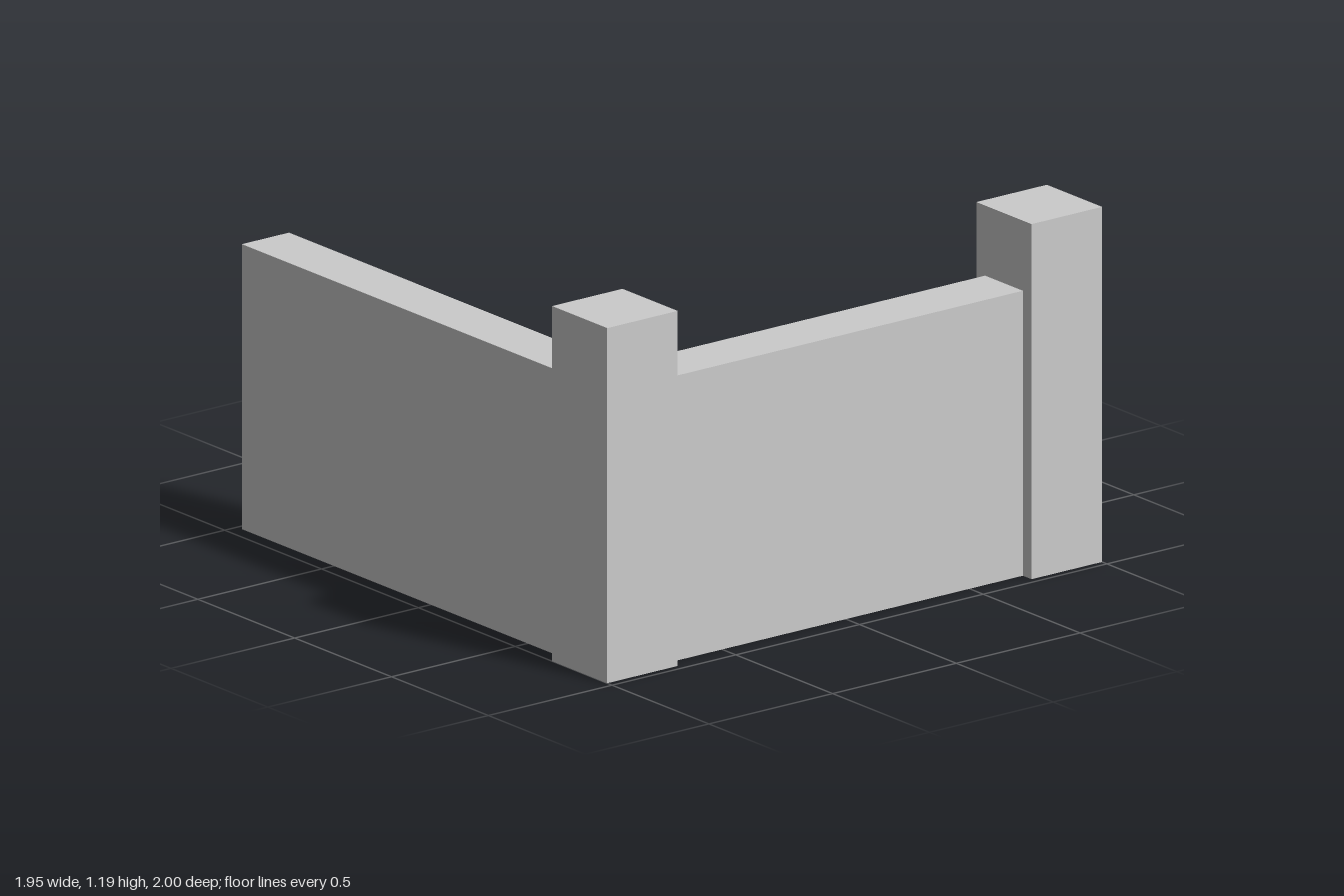
import * as THREE from 'three';

const POST = 0.285, POST_H = 1.19, WALL_H = 0.955;

export function createModel() {
  const model = new THREE.Group();
  const material = new THREE.MeshStandardMaterial({ color: 0xcccccc, flatShading: true });

  // Box given by its x and z extents, standing on the ground
  function block(name, x0, x1, h, z0, z1) {
    const geometry = new THREE.BoxGeometry(x1 - x0, h, z1 - z0);
    const mesh = new THREE.Mesh(geometry, material);
    mesh.position.set((x0 + x1) / 2, h / 2, (z0 + z1) / 2);
    mesh.name = name;
    model.add(mesh);
    return mesh;
  }

  // Square posts at the corner and at the back end
  block('cornerPost', 0.975 - POST, 0.975, POST_H, 1 - POST, 1);
  block('backPost', 0.975 - POST, 0.975, POST_H, -1, -1 + POST);

  // Side wall between the posts
  block('sideWall', 0.735, 0.93, WALL_H, -1 + POST, 1 - POST);

  // Front wall: hollow, with its free end left open
  const front = block('frontWall', -0.975, 0.975 - POST, WALL_H, 0.76, 0.95);
  const index = Array.from(front.geometry.index.array);
  index.splice(6, 6); // drop the -x face
  front.geometry.setIndex(index);
  front.geometry.clearGroups();
  front.material = material.clone();
  front.material.side = THREE.DoubleSide;

  return model;
}
